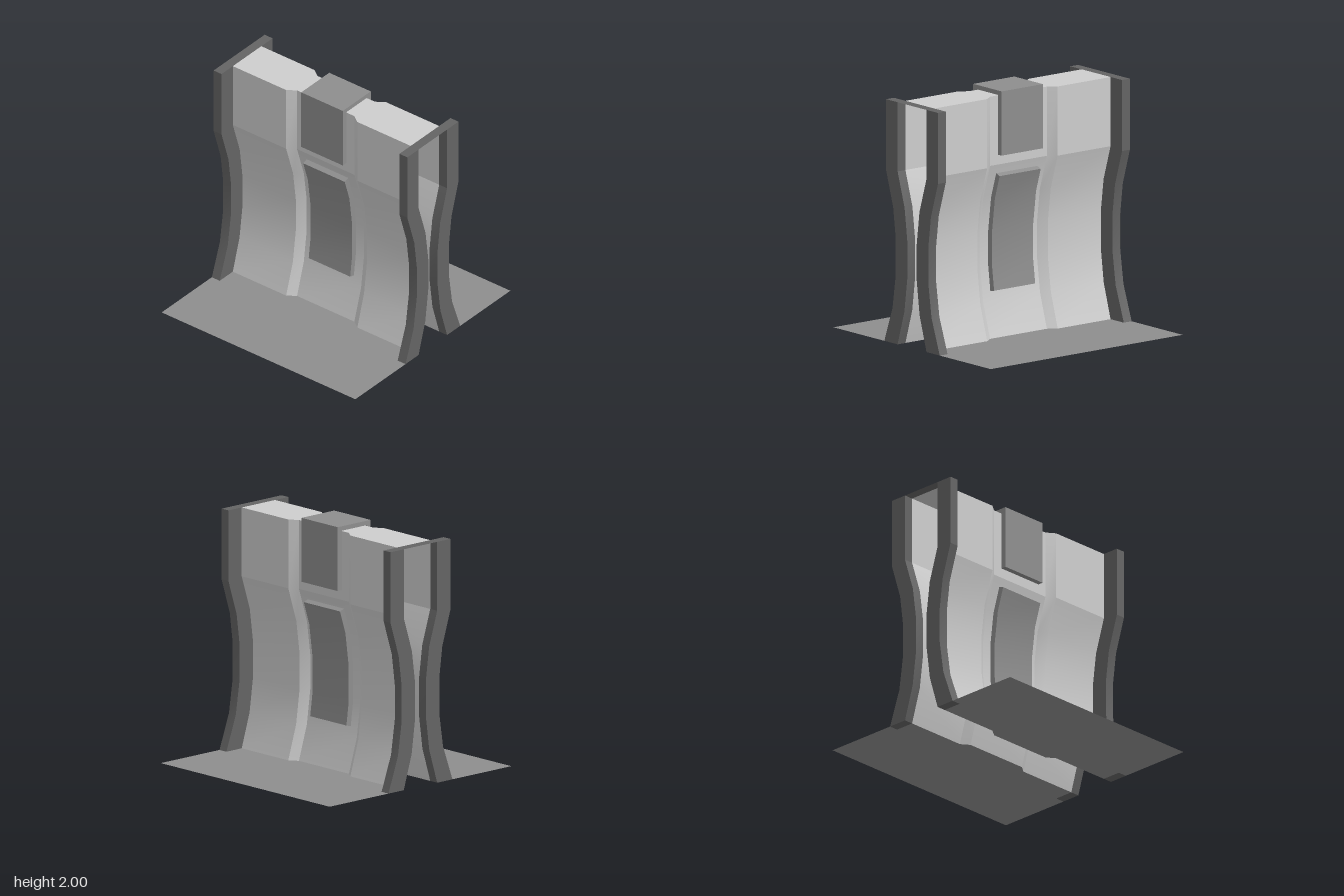
import * as THREE from 'three';
import { toCreasedNormals } from 'three/addons/utils/BufferGeometryUtils.js';

const CREASE = 0.26;
const TOP = 1.96;

// [y, z] of the wall face, and of the outer pillar face
const WALL = [[0, 0.18], [0.28, 0.095], [0.56, 0.058], [0.85, 0.058], [1.12, 0.093], [1.4, 0.18], [TOP, 0.18]];
const PILLAR = [[0, 0.345], [0.285, 0.243], [0.56, 0.203], [0.85, 0.203], [1.1, 0.235], [1.385, 0.323], [TOP, 0.323]];
const RECESS = 0.05;
// [x, depth] across the wall, with the recessed middle bay
const BAY = [[-0.9, 0], [-0.36, 0], [-0.29, RECESS], [0.29, RECESS], [0.36, 0], [0.9, 0]];

export function createModel() {
  const model = new THREE.Group();
  const mat = (name, color) => {
    const m = new THREE.MeshStandardMaterial({ color, side: THREE.DoubleSide });
    m.name = name;
    return m;
  };
  const light = mat('lightGrey', 0xcecece);
  const mid = mat('midGrey', 0x8e8e8e);
  const dark = mat('darkGrey', 0x646464);

  const add = (parent, name, geometry, material, x = 0, y = 0, z = 0) => {
    const mesh = new THREE.Mesh(geometry, material);
    mesh.name = name;
    mesh.position.set(x, y, z);
    parent.add(mesh);
    return mesh;
  };

  // Side profile of [y, z] points extruded along x and centred
  const extrudeSide = (points, width) => {
    const shape = new THREE.Shape(points.map(([y, z]) => new THREE.Vector2(z, y)));
    const g = new THREE.ExtrudeGeometry(shape, { depth: width, bevelEnabled: false });
    g.translate(0, 0, -width / 2).rotateY(-Math.PI / 2);
    return toCreasedNormals(g, CREASE);
  };

  // Flat sheet from [x, z] points, facing up
  const sheet = (points) => {
    const shape = new THREE.Shape(points.map(([x, z]) => new THREE.Vector2(x, -z)));
    return new THREE.ShapeGeometry(shape).rotateX(-Math.PI / 2);
  };

  // Curved wall sheet with the recessed bay
  const wallGeometry = () => {
    const pos = [], index = [], n = BAY.length;
    for (const [y, z] of WALL) for (const [x, d] of BAY) pos.push(x, y, z - d);
    for (let r = 0; r < WALL.length - 1; r++) {
      for (let c = 0; c < n - 1; c++) {
        const a = r * n + c;
        index.push(a, a + 1, a + n + 1, a, a + n + 1, a + n);
      }
    }
    const g = new THREE.BufferGeometry();
    g.setAttribute('position', new THREE.Float32BufferAttribute(pos, 3));
    g.setIndex(index);
    return toCreasedNormals(g.toNonIndexed(), CREASE);
  };

  // Curved panel sitting in the recess, its ends square to the curve
  const panelOuter = [[0.37, 0.083], ...WALL.slice(2, 5), [1.31, 0.152]];
  const panelInner = [[0.358, 0.036], [0.56, 0.01], [0.85, 0.01], [1.12, 0.045], [1.326, 0.109]];

  const wall = wallGeometry();
  const pillar = extrudeSide([...PILLAR, ...[...WALL].reverse()], 0.08);
  const panel = extrudeSide([...panelOuter, ...panelInner.reverse()], 0.42);
  const foot = BAY.map(([x, d]) => [x, 0.18 - d]);
  const ground = sheet([[-0.98, 0.98], [0.98, 0.98], [0.98, 0.345], [0.9, 0.345],
    ...foot.reverse(), [-0.9, 0.345], [-0.98, 0.345]]);

  // The two faces are the same, turned half a revolution
  for (const [name, turn] of [['frontFace', 0], ['backFace', Math.PI]]) {
    const face = new THREE.Group();
    face.name = name;
    face.rotation.y = turn;
    add(face, 'wall', wall, light);
    for (const s of [-1, 1]) add(face, 'pillar', pillar, dark, s * 0.94);
    add(face, 'curvedPanel', panel, mid);
    add(face, 'upperBlock', new THREE.BoxGeometry(0.42, 0.52, 0.045), mid, 0, 1.74, 0.1545);
    add(face, 'groundSheet', ground, mid);
    model.add(face);
  }

  // Roof sheet, pillar bridges and the cap joining the upper blocks
  const edge = BAY.map(([x, d]) => [x, 0.18 - d]);
  const roof = sheet([...edge, ...edge.map(([x, z]) => [x, -z]).reverse()]);
  add(model, 'roof', roof, light, 0, TOP, 0);
  for (const s of [-1, 1]) {
    const bridge = new THREE.PlaneGeometry(0.08, 0.36).rotateX(-Math.PI / 2);
    add(model, 'pillarBridge', bridge, dark, s * 0.94, TOP, 0);
  }
  add(model, 'topCap', new THREE.BoxGeometry(0.42, 0.036, 0.27), mid, 0, 1.982, 0);

  return model;
}
